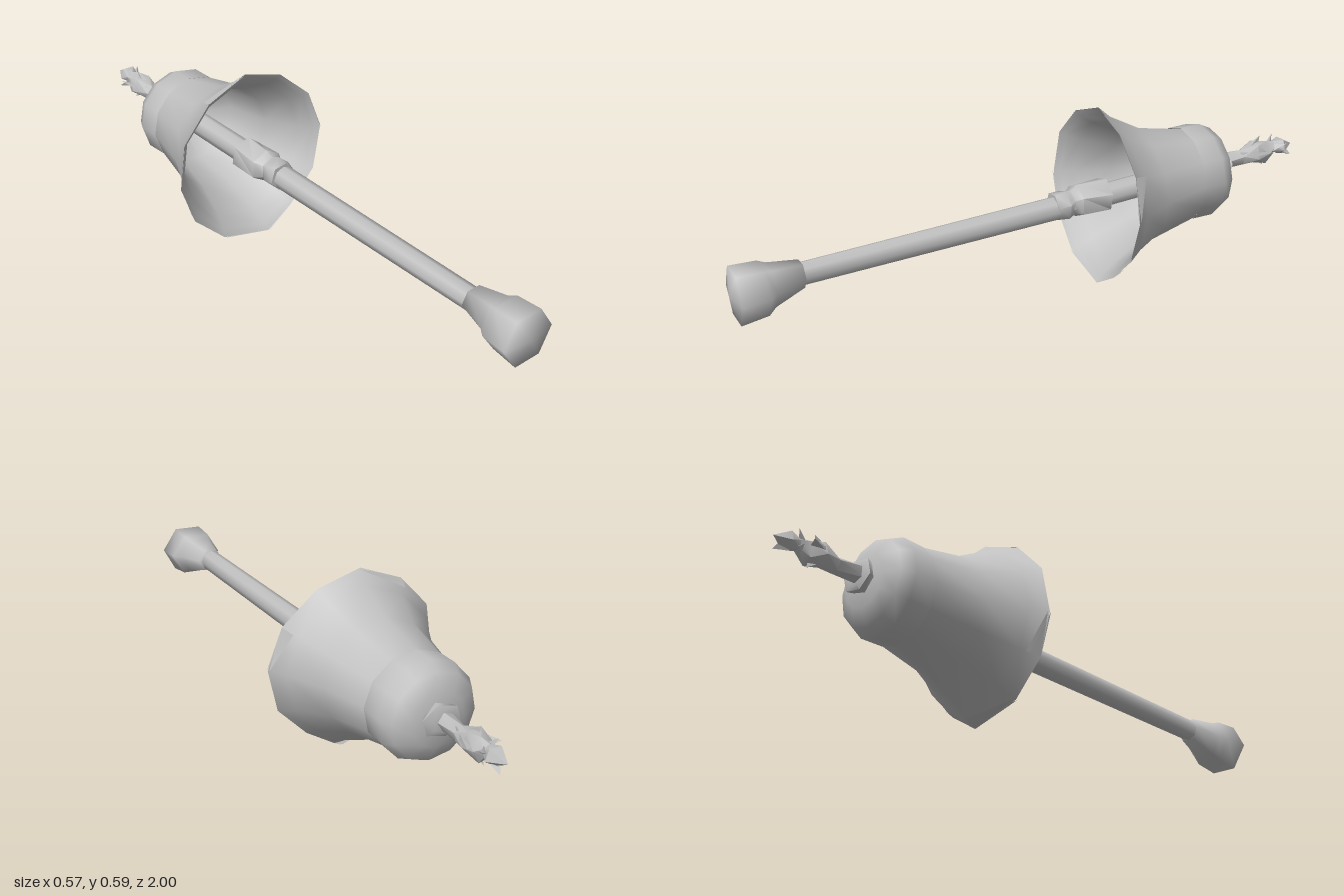
import * as THREE from 'three';
import { toCreasedNormals } from 'three/addons/utils/BufferGeometryUtils.js';

const steel = new THREE.MeshStandardMaterial({ color: 0xc0c0c0, side: THREE.DoubleSide });
steel.name = 'steel';

// one cross-section: n points around the z axis, counted anticlockwise from the front
function ring(n, z, cx, cy, rx, ry = rx, phase = 0) {
  return Array.from({ length: n }, (_, i) => {
    const a = phase + (i / n) * Math.PI * 2;
    return [cx + rx * Math.cos(a), cy + ry * Math.sin(a), z];
  });
}

// skin over cross-sections running from front to back, with optional end points
function loft(rings, front, back, crease = 1.2) {
  const n = rings[0].length, pos = rings.flat(2), idx = [];
  for (let r = 0; r < rings.length - 1; r++) {
    for (let i = 0; i < n; i++) {
      const j = (i + 1) % n, a = r * n + i, b = r * n + j;
      idx.push(a, a + n, b, b, a + n, b + n);
    }
  }
  const cap = (tip, base, flip) => {
    const t = pos.length / 3;
    pos.push(...tip);
    for (let i = 0; i < n; i++) {
      const a = base + i, b = base + (i + 1) % n;
      idx.push(t, flip ? b : a, flip ? a : b);
    }
  };
  if (front) cap(front, 0, false);
  if (back) cap(back, (rings.length - 1) * n, true);
  const g = new THREE.BufferGeometry();
  g.setAttribute('position', new THREE.Float32BufferAttribute(pos, 3));
  g.setIndex(idx);
  return toCreasedNormals(g, crease);
}

function triangles(points) {
  const g = new THREE.BufferGeometry();
  g.setAttribute('position', new THREE.Float32BufferAttribute(points.flat(), 3));
  g.computeVertexNormals();
  return g;
}

export function createModel() {
  const model = new THREE.Group();
  const add = (name, geometry) => {
    const m = new THREE.Mesh(geometry, steel);
    m.name = name;
    model.add(m);
  };
  const CY = 0.295;

  // six-sided pommel with a slightly domed end, softly shaded
  add('pommel', loft([
    ring(6, 0.985, 0.032, 0.241, 0.093, 0.089, 0.06),
    ring(6, 0.9, 0.032, 0.246, 0.09, 0.08, 0.06),
    ring(6, 0.875, 0.03, 0.25, 0.07, 0.066, 0.06),
    ring(6, 0.78, 0.026, 0.262, 0.045, 0.042, 0.06),
  ], [0.032, 0.241, 1], [0.026, 0.262, 0.78], 1.8));

  // long grip, leaning a little and running on into the guard
  add('grip', loft([
    ring(8, 0.79, 0.024, 0.26, 0.036),
    ring(8, -0.07, 0.008, 0.283, 0.039),
    ring(8, -0.66, -0.01, 0.305, 0.039),
  ], [0.024, 0.26, 0.79], [-0.01, 0.305, -0.66]));

  // twisted collar where the grip meets the guard
  add('collar', loft([
    ring(6, -0.06, 0.004, 0.288, 0.046, 0.046, 0.2),
    ring(6, -0.1, 0.008, 0.288, 0.052, 0.05, 0.35),
    ring(6, -0.12, 0.006, 0.29, 0.042, 0.042, 0.5),
    ring(6, -0.145, 0.002, 0.291, 0.06, 0.056, 0.5),
    ring(6, -0.25, 0, 0.292, 0.06, 0.057, 0.35),
  ], [0.004, 0.288, -0.06], [0, 0.292, -0.25], 1.1));

  // uneven twelve-cornered rim of the bell guard
  const rim = [
    [0.285, 0.315], [0.24, 0.45], [0.125, 0.55], [-0.015, 0.59], [-0.16, 0.53], [-0.26, 0.42],
    [-0.285, 0.27], [-0.24, 0.14], [-0.13, 0.04], [0.05, 0.0], [0.15, 0.065], [0.25, 0.17],
  ];
  const rimRing = (s, z, cx = 0) => rim.map(([x, y]) =>
    [cx + x * s, CY + (y - CY) * s, z - 0.05 * (y - CY) * Math.max(0, 4 * s - 3)]);
  const lip = rimRing(1, -0.215);
  const roundRing = (z, r, cx) => ring(12, z, cx, 0.302, r, r, 0.07);

  add('bellGuard', loft([
    lip,
    rimRing(0.87, -0.265),
    rimRing(0.67, -0.38, -0.004),
    roundRing(-0.55, 0.154, -0.008),
  ]));

  // rounded back of the guard
  add('guardDome', loft([
    roundRing(-0.545, 0.157, -0.008),
    roundRing(-0.62, 0.158, -0.01),
    roundRing(-0.66, 0.138, -0.01),
    roundRing(-0.685, 0.085, -0.01),
  ], null, [-0.01, 0.305, -0.69]));

  // inner lining: a turned lip, then the bell curve down to the throat and a sloping floor
  add('guardLining', loft([
    rimRing(0.995, -0.214),
    rimRing(0.93, -0.23),
    rimRing(0.82, -0.272),
    rimRing(0.63, -0.38, -0.004),
    roundRing(-0.53, 0.145, -0.008),
    roundRing(-0.62, 0.045, -0.01),
  ], null, null, 1.5));

  // folded slivers along the rim
  const folds = [];
  const at = (p, s, dz) => [p[0] * s, CY + (p[1] - CY) * s, p[2] + dz];
  for (const i of [1, 4, 7, 9, 10]) {
    const a = lip[i], b = lip[(i + 11) % 12];
    folds.push(at(a, 1, 0), at(b, 1, 0.005), at(a, 0.96, -0.035));
    folds.push(at(a, 1, 0), at(a, 0.94, -0.045), at(b, 0.99, -0.005));
  }
  add('rimFolds', triangles(folds));

  // small flange behind the dome
  add('bladeFlange', loft([
    ring(6, -0.685, -0.008, 0.31, 0.05, 0.052, 0.3),
    ring(6, -0.708, -0.006, 0.312, 0.066, 0.052, 0.3),
    ring(6, -0.715, -0.008, 0.312, 0.035, 0.035, 0.3),
  ], null, [-0.008, 0.312, -0.715], 1.1));

  // broken blade stub, rough and twisted
  add('bladeStub', loft([
    ring(5, -0.7, -0.015, 0.312, 0.028, 0.03, 0),
    ring(5, -0.79, -0.014, 0.31, 0.027, 0.026, 0.4),
    ring(5, -0.845, -0.018, 0.318, 0.042, 0.04, 0.9),
    ring(5, -0.89, -0.016, 0.312, 0.032, 0.042, 1.3),
    ring(5, -0.92, -0.015, 0.325, 0.022, 0.02, 1.6),
    ring(5, -0.95, -0.012, 0.325, 0.034, 0.03, 2.2),
  ], null, [-0.018, 0.322, -1], 0.8));

  // jagged shards on the stub: root z, tip z, angle, tip distance
  const shards = [];
  for (const [z0, z1, a, r] of [
    [-0.78, -0.89, 0.2, 0.052], [-0.8, -0.9, 2.9, 0.056], [-0.81, -0.87, 1.7, 0.056],
    [-0.83, -0.89, 4.6, 0.055], [-0.9, -0.95, 0.6, 0.05], [-0.91, -0.94, 3.6, 0.045],
    [-0.9, -0.93, 2.0, 0.05], [-0.94, -0.99, 5.2, 0.03],
  ]) {
    const p = (ang, d, z) => [-0.016 + d * Math.cos(ang), 0.316 + d * Math.sin(ang), z];
    const tip = p(a, r, z1), l = p(a - 0.7, 0.022, z0), m = p(a + 0.7, 0.022, z0), k = p(a, 0.012, z1 + 0.01);
    shards.push(l, m, tip, m, k, tip, k, l, tip);
  }
  add('bladeShards', triangles(shards));

  return model;
}
